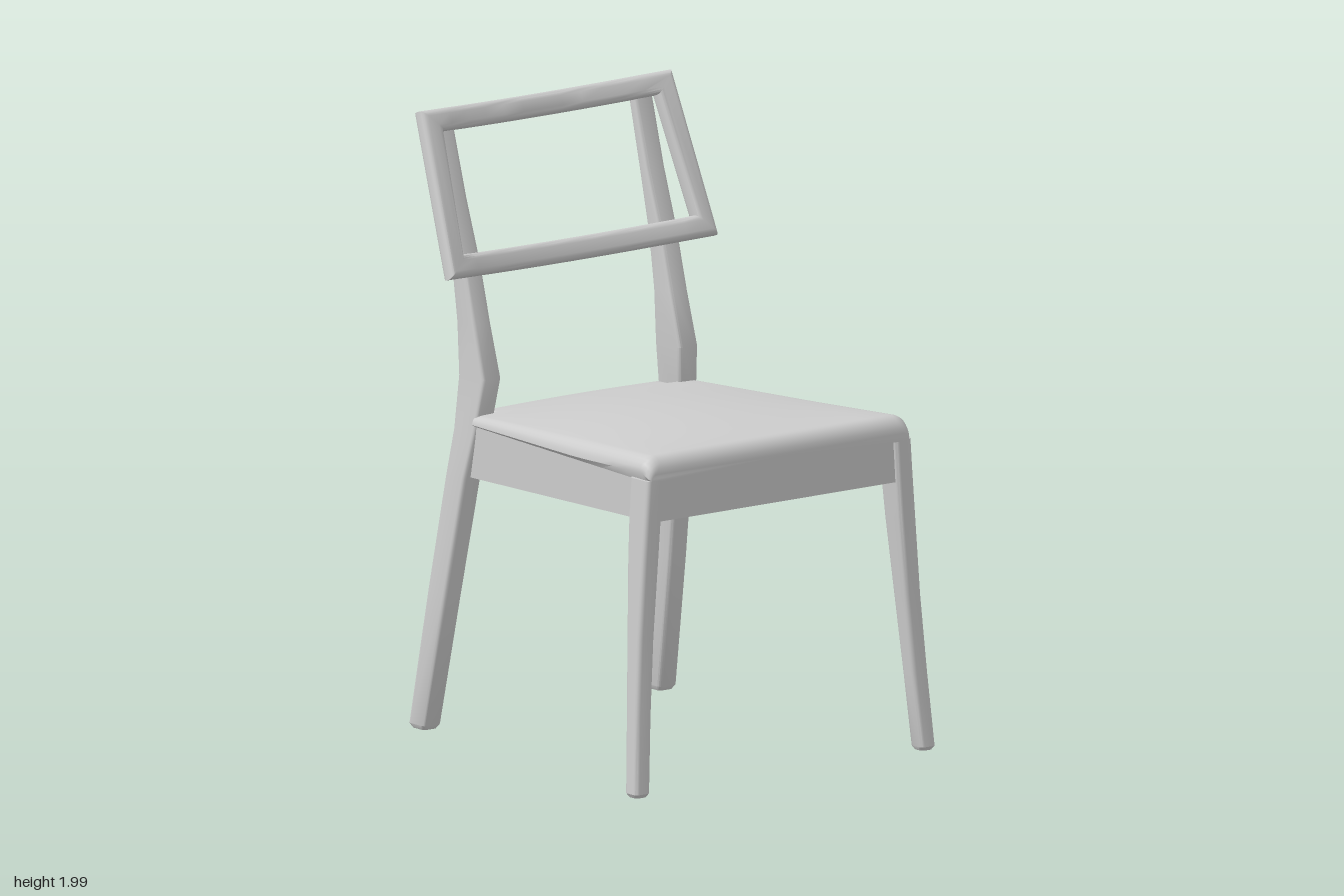
import * as THREE from 'three';
import { toCreasedNormals } from 'three/addons/utils/BufferGeometryUtils.js';

const paint = new THREE.MeshStandardMaterial({ color: 0xcccccc });
paint.name = 'light grey';

// Skin a series of equal-length rings; faces are turned outward by signed volume.
function loft(name, rings, { closed = false, crease = 0.55 } = {}) {
  const n = rings[0].length, pos = rings.flat(2), idx = [];
  const spans = closed ? rings.length : rings.length - 1;
  for (let i = 0; i < spans; i++) for (let j = 0; j < n; j++) {
    const a = i * n + j, b = i * n + (j + 1) % n;
    const k = ((i + 1) % rings.length) * n, c = k + j, d = k + (j + 1) % n;
    idx.push(a, b, d, a, d, c);
  }
  if (!closed) [0, rings.length - 1].forEach((r, end) => {
    const c = pos.length / 3;
    for (let k = 0; k < 3; k++) pos.push(rings[r].reduce((s, p) => s + p[k], 0) / n);
    for (let j = 0; j < n; j++) {
      const a = r * n + j, b = r * n + (j + 1) % n;
      idx.push(...(end ? [c, a, b] : [c, b, a]));
    }
  });
  const v = i => new THREE.Vector3().fromArray(pos, i * 3);
  let volume = 0;
  for (let i = 0; i < idx.length; i += 3) volume += v(idx[i]).dot(v(idx[i + 1]).cross(v(idx[i + 2])));
  if (volume < 0) idx.reverse();
  const g = new THREE.BufferGeometry();
  g.setAttribute('position', new THREE.Float32BufferAttribute(pos, 3));
  g.setIndex(idx);
  const mesh = new THREE.Mesh(toCreasedNormals(g, crease), paint);
  mesh.name = name;
  return mesh;
}

// Rounded rectangle outline as [u, v] pairs
function roundRect(hu, hv, r, steps = 3) {
  const out = [];
  [[1, 1], [-1, 1], [-1, -1], [1, -1]].forEach(([su, sv], q) => {
    for (let i = 0; i <= steps; i++) {
      const a = (q + i / steps) * Math.PI / 2;
      out.push([su * (hu - r) + r * Math.cos(a), sv * (hv - r) + r * Math.sin(a)]);
    }
  });
  return out;
}

// Leg from horizontal sections [y, xInner, xOuter, zBack, zFront]
function leg(name, side, sections, r) {
  return loft(name, sections.map(([y, x0, x1, z0, z1]) =>
    roundRect((x1 - x0) / 2, (z1 - z0) / 2, r).map(([u, v]) =>
      [side * ((x0 + x1) / 2 + u), y, (z0 + z1) / 2 + v])));
}

// Plank between two ends, each [xInner, xOuter, z, yBottom, yTop]
function sideRail(side) {
  const ends = [[0.44, 0.5, 0.56, 0.87, 1.005], [0.375, 0.435, -0.41, 0.832, 1.005]];
  return loft('sideRail', ends.map(([x0, x1, z, y0, y1]) =>
    [[x0, y0], [x1, y0], [x1, y1], [x0, y1]].map(([x, y]) => [side * x, y, z])));
}

function crossRail(name, halfWidth, y0, y1, z0, z1) {
  const mesh = new THREE.Mesh(new THREE.BoxGeometry(halfWidth * 2, y1 - y0, z1 - z0), paint);
  mesh.position.set(0, (y0 + y1) / 2, (z0 + z1) / 2);
  mesh.name = name;
  return mesh;
}

// Domed cushion, tapering to the back and narrowing between the rear legs
function cushion() {
  const section = (z, w, h, crown) => {
    const r = Math.min(0.05, h * 0.8), half = [[w - 0.012, 0]];
    for (let i = 0; i <= 5; i++) {
      const a = i / 5 * Math.PI / 2;
      half.push([w - r + r * Math.cos(a), h - r + r * Math.sin(a)]);
    }
    for (let i = 1; i <= 5; i++) half.push([(w - r) * (1 - i / 5), h]);
    const pts = [...half, ...half.slice(0, -1).reverse().map(([x, y]) => [-x, y])];
    return pts.map(([x, y]) => [x, 1 + y + (y >= h - 1e-6 ? crown * (1 - (x / (w - r)) ** 2) : 0), z]);
  };
  const width = z => 0.45 + 0.08 * (z + 0.38);
  const rings = [];
  for (let i = 0; i <= 5; i++) {
    const a = i / 5 * Math.PI / 2;
    rings.push(section(0.575 + 0.045 * Math.cos(a), 0.512 + 0.014 * Math.sin(a), 0.025 + 0.054 * Math.sin(a), 0));
  }
  for (let i = 1; i <= 12; i++) {
    const t = i / 12, z = 0.575 - 0.95 * t;
    rings.push(section(z, width(z), 0.079 - 0.044 * t, 0.028 * 4 * t * (1 - t) + 0.006 * t));
  }
  rings.push(section(-0.375, 0.36, 0.035, 0.006), section(-0.435, 0.36, 0.032, 0.004),
    section(-0.452, 0.355, 0.024, 0), section(-0.46, 0.35, 0.012, 0));
  return loft('seatCushion', rings, { crease: 0.7 });
}

// Open backrest: rounded bar mitred around a tilted, backward-bowed rectangle
function backrest() {
  const bottom = { x: 0.498, y: 1.515, z: -0.405 }, top = { x: 0.465, y: 1.95, z: -0.575 };
  const up = [0.932, -0.364], normal = [0.364, 0.932], steps = 12;
  const outline = roundRect(0.036, 0.0275, 0.02, 4), rings = [];
  const ring = (e, t, sx, sy) => {
    const bow = -0.046 * (1 - t * t);
    rings.push(outline.map(([u, v]) => {
      const b = v + bow;
      return [e.x * t + sx * u, e.y + up[0] * sy * u + normal[0] * b, e.z + up[1] * sy * u + normal[1] * b];
    }));
  };
  [[bottom, 1, -1], [top, -1, 1]].forEach(([e, dir, sy]) => {
    for (let i = 0; i <= steps; i++) {
      const t = dir * (2 * i / steps - 1);
      ring(e, t, i === 0 || i === steps ? Math.sign(t) : 0, sy);
    }
  });
  return loft('backrestFrame', rings, { closed: true, crease: 0.6 });
}

export function createModel() {
  const chair = new THREE.Group();
  chair.name = 'chair';
  const frontLeg = [
    [0, 0.547, 0.592, 0.597, 0.643], [0.012, 0.54, 0.599, 0.59, 0.65],
    [0.25, 0.521, 0.582, 0.572, 0.633], [0.5, 0.501, 0.563, 0.551, 0.622],
    [0.75, 0.48, 0.545, 0.532, 0.62], [0.88, 0.47, 0.535, 0.525, 0.62], [1.005, 0.462, 0.526, 0.522, 0.62],
  ];
  const backLeg = [
    [0, 0.443, 0.497, -0.623, -0.56], [0.015, 0.435, 0.505, -0.632, -0.55],
    [0.45, 0.413, 0.484, -0.562, -0.47], [0.83, 0.39, 0.462, -0.499, -0.402],
    [0.98, 0.374, 0.445, -0.48, -0.37], [1.15, 0.355, 0.43, -0.474, -0.345],
    [1.32, 0.357, 0.428, -0.486, -0.395], [1.5, 0.357, 0.428, -0.513, -0.444],
    [1.7, 0.357, 0.43, -0.56, -0.515], [1.94, 0.359, 0.432, -0.622, -0.585],
  ];
  for (const side of [1, -1]) {
    chair.add(leg('frontLeg', side, frontLeg, 0.014), leg('backLeg', side, backLeg, 0.012), sideRail(side));
  }
  chair.add(
    crossRail('frontRail', 0.48, 0.868, 1.005, 0.55, 0.605),
    crossRail('backRail', 0.41, 0.828, 1.005, -0.455, -0.4),
    cushion(), backrest());
  return chair;
}
